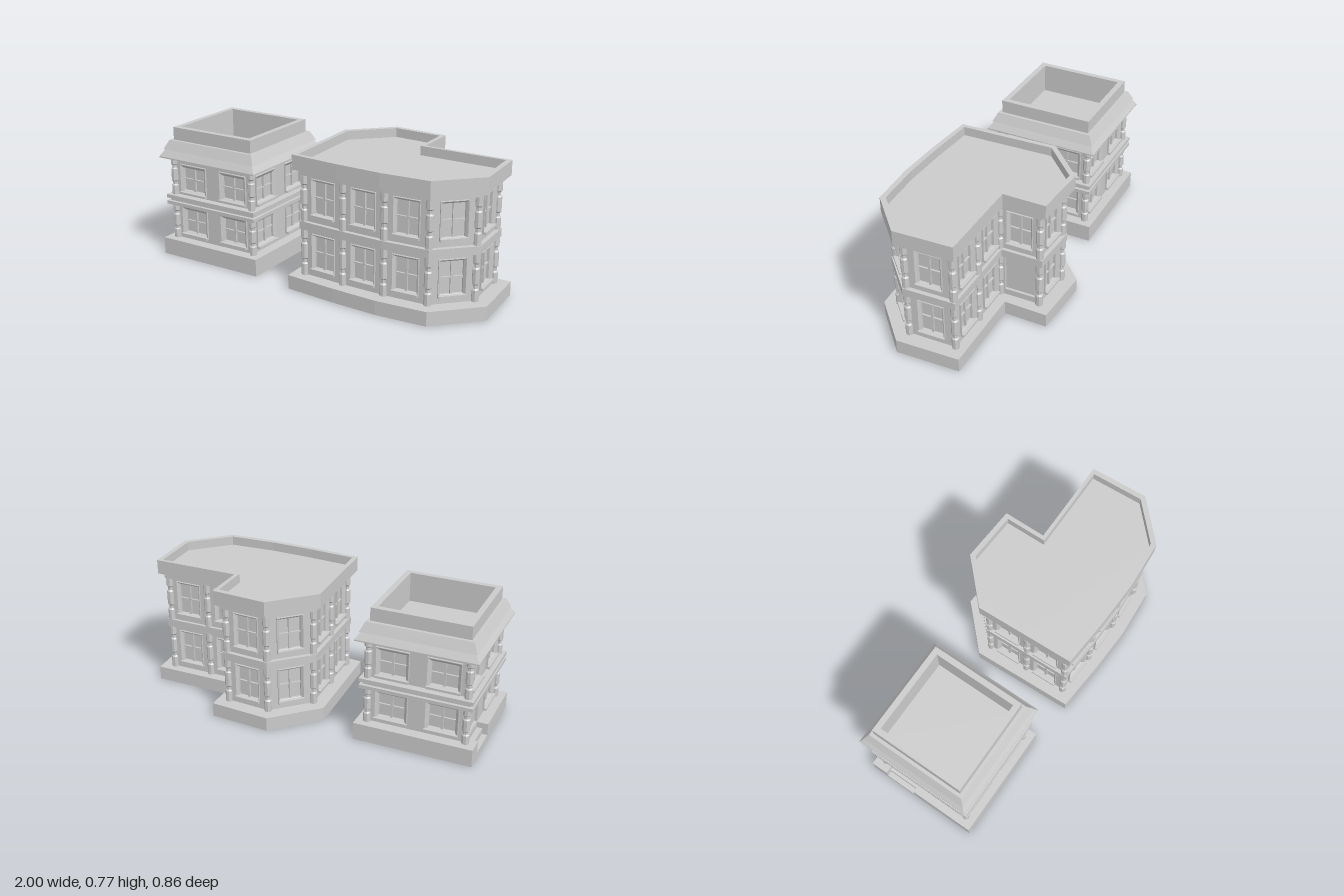
import * as THREE from 'three';

const mat = new THREE.MeshStandardMaterial({ color: 0xcccccc, flatShading: true });

function add(parent, name, geo, x = 0, y = 0, z = 0) {
  const m = new THREE.Mesh(geo, mat);
  m.name = name;
  m.position.set(x, y, z);
  parent.add(m);
  return m;
}

const box = (w, h, d) => new THREE.BoxGeometry(w, h, d);
const toPath = (pts, Type) => new Type(pts.map(([x, z]) => new THREE.Vector2(x, -z)));

// Horizontal slab from a plan outline [x, z], with an optional opening
function slab(parent, name, pts, y0, y1, hole) {
  const s = toPath(pts, THREE.Shape);
  if (hole) s.holes.push(toPath(hole, THREE.Path));
  const g = new THREE.ExtrudeGeometry(s, { depth: y1 - y0, bevelEnabled: false });
  g.rotateX(-Math.PI / 2);
  return add(parent, name, g, 0, y0, 0);
}

// Rectangular ring swept from a profile of [inset, z] steps
function ringGeo(w, h, profile) {
  const pos = [];
  const corner = ([i, z], k) => [
    (k === 0 || k === 3 ? -1 : 1) * (w / 2 - i), (k < 2 ? -1 : 1) * (h / 2 - i), z];
  for (let j = 0; j < profile.length - 1; j++) {
    for (let k = 0; k < 4; k++) {
      const n = (k + 1) % 4;
      const a = corner(profile[j], k), b = corner(profile[j], n);
      const c = corner(profile[j + 1], n), d = corner(profile[j + 1], k);
      pos.push(...a, ...b, ...c, ...a, ...c, ...d);
    }
  }
  const g = new THREE.BufferGeometry();
  g.setAttribute('position', new THREE.Float32BufferAttribute(pos, 3));
  g.computeVertexNormals();
  return g;
}

// Bevelled frame, recessed pane, cross bars and a projecting sill
function addWindow(wall, x, y, w, h, f) {
  const win = new THREE.Group();
  win.name = 'window';
  win.position.set(x, y, 0);
  add(win, 'windowFrame', ringGeo(w, h, [[0, -0.002], [0, 0.01], [f * 0.2, 0.01], [f, -0.004], [f, -0.02]]));
  add(win, 'windowPane', box(w, h, 0.006), 0, 0, -0.021);
  add(win, 'verticalBar', box(0.012, h - 2 * f, 0.014), 0, 0, -0.013);
  add(win, 'horizontalBar', box(w - 2 * f, 0.008, 0.011), 0, 0, -0.013);
  add(win, 'windowSill', box(w, 0.013, 0.022), 0, -h / 2 + 0.0065, 0.011);
  wall.add(win);
}

// Wall panel from p to q (outside on the right hand), with openings cut through it
function addWall(parent, p, q, y0, y1, openings) {
  const dx = q[0] - p[0], dz = q[1] - p[1], half = Math.hypot(dx, dz) / 2;
  const wall = new THREE.Group();
  wall.name = 'wall';
  wall.position.set((p[0] + q[0]) / 2, 0, (p[1] + q[1]) / 2);
  wall.rotation.y = Math.atan2(-dz, dx);
  parent.add(wall);
  const rect = (Type, x0, b, x1, t) => new Type(
    [[x0, b], [x1, b], [x1, t], [x0, t]].map(([x, y]) => new THREE.Vector2(x, y)));
  const shape = rect(THREE.Shape, -half, y0, half, y1);
  for (const o of openings) {
    const e = o.door ? 0 : o.f * 0.7;
    shape.holes.push(rect(THREE.Path, o.x - o.w / 2 + e, o.y - o.h / 2 + e, o.x + o.w / 2 - e, o.y + o.h / 2 - e));
    if (o.door) add(wall, 'door', box(o.w, o.h, 0.006), o.x, o.y, -0.018);
    else addWindow(wall, o.x, o.y, o.w, o.h, o.f);
  }
  const g = new THREE.ExtrudeGeometry(shape, { depth: 0.02, bevelEnabled: false });
  add(wall, 'wallPanel', g, 0, 0, -0.02);
}

// Octagonal column with two narrow necks
function addColumn(parent, [x, z], y0, y1) {
  const r = 0.021, n = 0.014;
  const profile = [[0, 0], [r, 0], [r, 0.24], [n, 0.27], [n, 0.34], [r, 0.37],
    [r, 0.68], [n, 0.71], [n, 0.78], [r, 0.81], [r, 1], [0, 1]];
  const pts = profile.map(([a, t]) => new THREE.Vector2(a, t * (y1 - y0)));
  add(parent, 'column', new THREE.LatheGeometry(pts, 8, Math.PI / 8), x, y0, z);
}

function squareTower() {
  const g = new THREE.Group();
  g.name = 'squareTower';
  g.position.set(-0.667, 0, 0.025);
  const sq = (h) => [[-h, h], [h, h], [h, -h], [-h, -h]];
  // Plinth with a notch for the entrance steps on the -x side
  const H = 0.333, n0 = -0.235, n1 = -0.047, nx = -0.272;
  slab(g, 'plinth', [[-H, H], [H, H], [H, -H], [-H, -H], [-H, n0], [nx, n0], [nx, n1], [-H, n1]], 0, 0.1);
  add(g, 'lowerStep', box(0.061, 0.033, n1 - n0), -0.3025, 0.0165, (n0 + n1) / 2);
  add(g, 'upperStep', box(0.031, 0.067, n1 - n0), -0.2875, 0.0335, (n0 + n1) / 2);

  const corners = sq(0.27);
  corners.forEach((p, i) => {
    const openings = [];
    for (const x of [-0.141, 0.141]) {
      for (const y of [0.21, 0.466]) {
        const isDoor = i === 3 && x < 0 && y < 0.3;
        openings.push(isDoor ? { x, y: 0.205, w: 0.187, h: 0.2, door: true }
          : { x, y, w: 0.187, h: 0.177, f: 0.02 });
      }
    }
    addWall(g, p, corners[(i + 1) % 4], 0.095, 0.6, openings);
    const c = p.map((v) => v * 1.02);
    addColumn(g, c, 0.1, 0.31);
    addColumn(g, c, 0.368, 0.594);
  });
  // Double string course
  slab(g, 'lowerBand', sq(0.313), 0.31, 0.33);
  slab(g, 'bandCore', sq(0.295), 0.33, 0.347);
  slab(g, 'upperBand', sq(0.313), 0.347, 0.368);
  // Two sloping cornice tiers, parapet and sunken roof
  const roof = [[0, 0.593], [0.334, 0.593], [0.334, 0.6], [0.308, 0.64], [0.316, 0.64], [0.29, 0.694],
    [0.272, 0.694], [0.272, 0.768], [0.24, 0.768], [0.24, 0.6], [0, 0.6]];
  const pts = roof.map(([r, y]) => new THREE.Vector2(r * Math.SQRT2, y));
  add(g, 'roof', new THREE.LatheGeometry(pts, 4, Math.PI / 4));
  return g;
}

function corneredBuilding() {
  const g = new THREE.Group();
  g.name = 'corneredBuilding';
  // Matching plan outlines of plinth and walls, counterclockwise from front left
  const outer = [[-0.088, 0.395], [0.21, 0.42], [0.48, 0.432], [0.766, 0.413], [0.995, 0.193], [0.975, -0.164],
    [0.725, -0.164], [0.472, -0.164], [0.472, -0.41], [0.125, -0.432], [-0.113, -0.2], [-0.1, 0.1]];
  const inner = [[-0.02, 0.328], [0.23, 0.343], [0.48, 0.348], [0.73, 0.335], [0.912, 0.16], [0.9, -0.107],
    [0.655, -0.107], [0.41, -0.107], [0.405, -0.337], [0.155, -0.35], [-0.035, -0.165], [-0.027, 0.082]];
  const outline = (t) => outer.map(([x, z], i) => [x + (inner[i][0] - x) * t, z + (inner[i][1] - z) * t]);

  slab(g, 'plinth', outer, 0, 0.08);
  inner.forEach((p, i) => {
    const win = { x: 0, w: 0.15, h: 0.21, f: 0.014 };
    const lower = i === 7 ? { x: 0, y: 0.23, w: 0.175, h: 0.23, door: true } : { ...win, y: 0.22 };
    addWall(g, p, inner[(i + 1) % inner.length], 0.075, 0.66, [lower, { ...win, y: 0.53 }]);
    addColumn(g, p, 0.08, 0.345);
    addColumn(g, p, 0.39, 0.65);
  });
  slab(g, 'middleBand', outline(0.7), 0.345, 0.39);
  slab(g, 'topBand', outline(0.7), 0.65, 0.68);
  slab(g, 'roofDeck', outline(0.6), 0.68, 0.71);
  slab(g, 'parapet', outline(0.32), 0.68, 0.762, outline(0.68));
  return g;
}

export function createModel() {
  const model = new THREE.Group();
  model.name = 'twoBuildings';
  model.add(squareTower(), corneredBuilding());
  return model;
}
